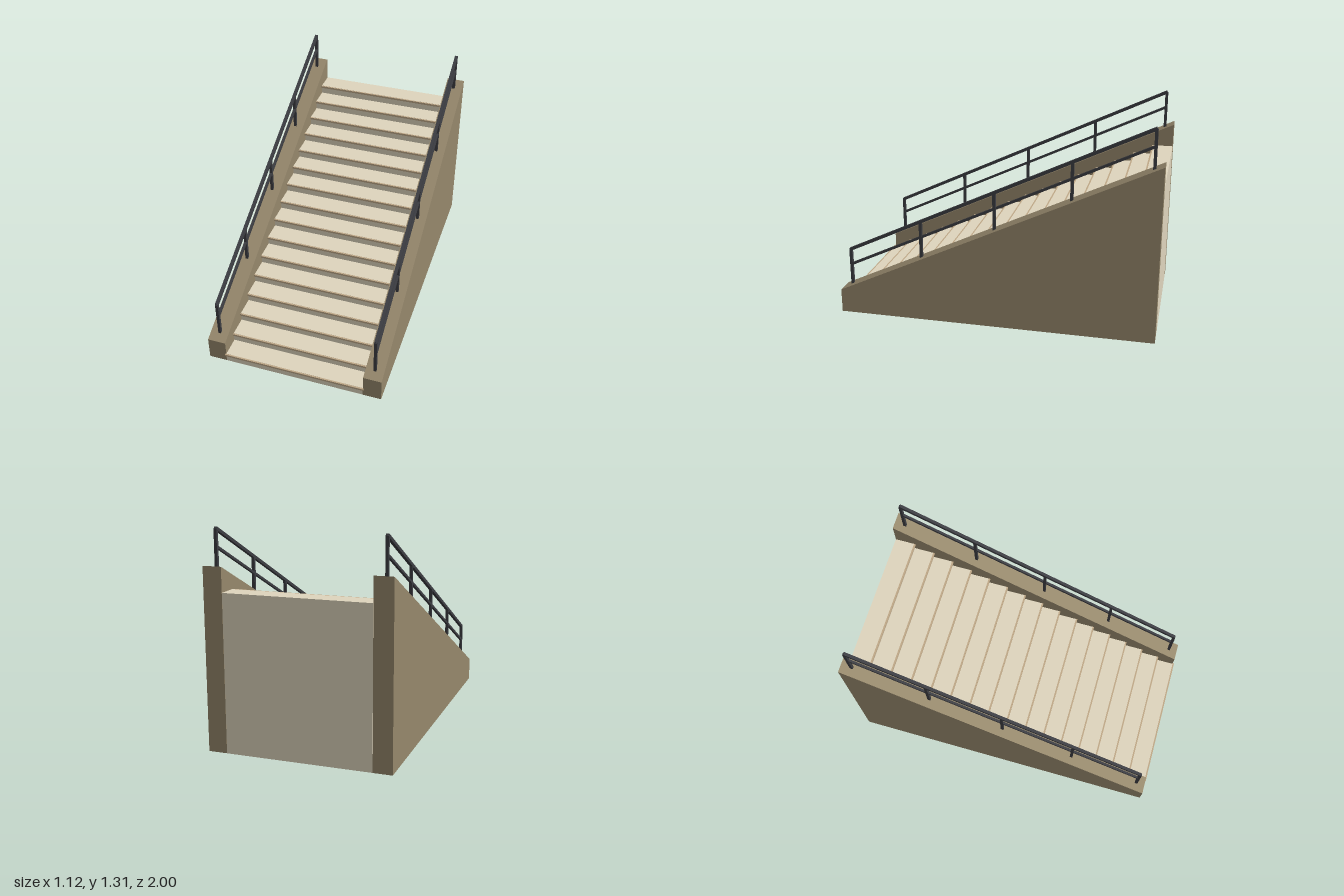
import * as THREE from 'three';

const STEPS = 16, FRONT = 0.99, BACK = -1, TOP = 0.948;
const RUN = (FRONT - BACK) / STEPS, RISE = TOP / STEPS;
const INNER = 0.445, OUTER = 0.56, STEP_HALF = 0.444, RAIL_X = 0.502;
const WALL_FRONT = 0.15, WALL_BACK = 1.095;

const paint = (color, side = THREE.FrontSide) => new THREE.MeshStandardMaterial({ color, side });
const wallTop = (z) => WALL_FRONT + (WALL_BACK - WALL_FRONT) * (FRONT - z) / (FRONT - BACK);

function add(parent, name, geometry, material, x = 0, y = 0, z = 0) {
  const mesh = new THREE.Mesh(geometry, material);
  mesh.name = name;
  mesh.position.set(x, y, z);
  parent.add(mesh);
  return mesh;
}

// Drops the faces lying on the lowest level, leaving a hollow shell open below
function openBelow(geometry) {
  geometry.computeBoundingBox();
  const floor = geometry.boundingBox.min.y + 1e-5;
  const position = geometry.attributes.position, index = geometry.index, kept = [];
  const count = index ? index.count : position.count;
  for (let i = 0; i < count; i += 3) {
    const corners = [i, i + 1, i + 2].map((k) => (index ? index.getX(k) : k));
    if (corners.some((c) => position.getY(c) > floor)) kept.push(...corners);
  }
  geometry.setIndex(kept);
  geometry.clearGroups();
  return geometry;
}

// Square bar running between two points in the same x plane
function bar(parent, name, a, b, size, material) {
  const dir = b.clone().sub(a);
  const mesh = add(parent, name, new THREE.BoxGeometry(size, dir.length(), size), material);
  mesh.position.copy(a).add(b).multiplyScalar(0.5);
  mesh.rotation.x = Math.atan2(dir.z, dir.y);
}

export function createModel() {
  const model = new THREE.Group();
  model.name = 'staircase';
  const stone = paint(0xe0d6be, THREE.DoubleSide), wallMat = paint(0x96886c, THREE.DoubleSide);
  const edge = paint(0xc0a988), metal = paint(0x3c3d42);

  // Hollow full-height steps, each with a thin overhanging nosing
  const stairs = new THREE.Group();
  stairs.name = 'stairs';
  model.add(stairs);
  const lip = 0.01, lipHeight = 0.013;
  for (let i = 0; i < STEPS; i++) {
    const height = RISE * (i + 1), z = FRONT - RUN * i;
    add(stairs, 'step', openBelow(new THREE.BoxGeometry(STEP_HALF * 2, height, RUN)), stone,
      0, height / 2, z - RUN / 2);
    add(stairs, 'nosing', new THREE.BoxGeometry(0.9, lipHeight, lip * 2), edge,
      0, height - lipHeight / 2 - 0.0005, z);
  }

  // Hollow sloping side walls, profile drawn in z and y
  const profile = new THREE.Shape([
    new THREE.Vector2(BACK, 0), new THREE.Vector2(FRONT, 0),
    new THREE.Vector2(FRONT, WALL_FRONT), new THREE.Vector2(BACK, WALL_BACK),
  ]);
  const wall = new THREE.ExtrudeGeometry(profile, { depth: OUTER - INNER, bevelEnabled: false });
  wall.rotateY(-Math.PI / 2);
  openBelow(wall);
  add(model, 'leftWall', wall, wallMat, OUTER);
  add(model, 'rightWall', wall, wallMat, -INNER);

  // Handrails: five posts, a top rail and a thinner middle rail
  const zFront = 0.93, zBack = -0.94, posts = 5;
  for (const side of [1, -1]) {
    const railing = new THREE.Group();
    railing.name = side > 0 ? 'leftRailing' : 'rightRailing';
    model.add(railing);
    const at = (z, lift) => new THREE.Vector3(side * RAIL_X, wallTop(z) + lift, z);
    for (let i = 0; i < posts; i++) {
      const z = THREE.MathUtils.lerp(zFront, zBack, i / (posts - 1));
      bar(railing, 'post', at(z, -0.005), at(z, 0.233), 0.018, metal);
    }
    bar(railing, 'topRail', at(zFront + 0.004, 0.234), at(zBack - 0.004, 0.234), 0.019, metal);
    bar(railing, 'middleRail', at(zFront, 0.132), at(zBack, 0.132), 0.015, metal);
  }
  return model;
}
